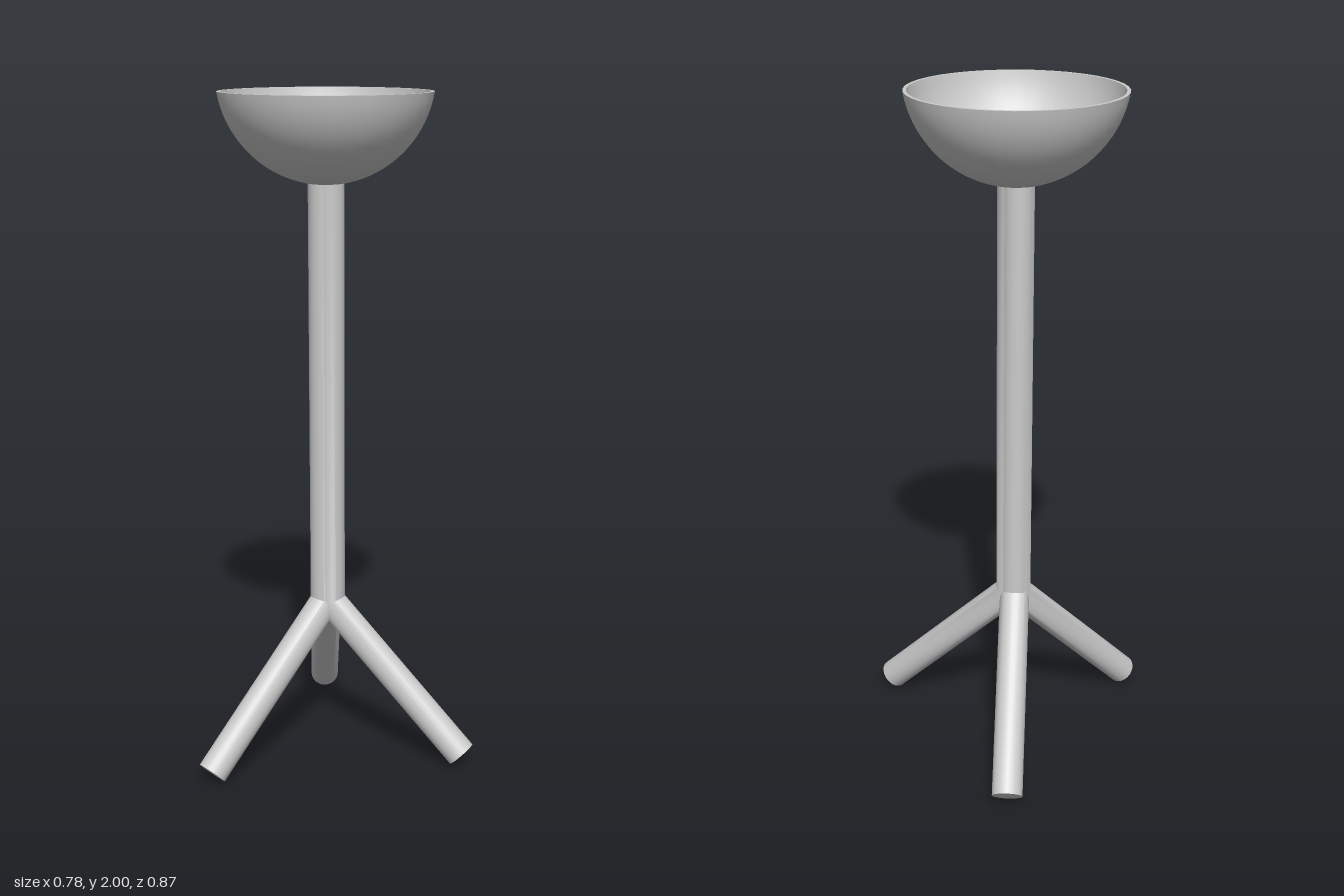
import * as THREE from 'three';
import { toCreasedNormals } from 'three/addons/utils/BufferGeometryUtils.js';

const material = new THREE.MeshStandardMaterial({ color: 0xcccccc, side: THREE.DoubleSide });
const RADIUS = 0.045, BEND_Y = 0.47, TOP_Y = 1.743;

// One rod: a vertical upper part and a mitred bend into a splayed leg along local +x
function bentRod(reach, footY) {
  const drop = BEND_Y - footY;
  const angle = Math.atan2(reach, drop);
  const geometry = new THREE.CylinderGeometry(RADIUS, RADIUS, 1, 24, 2);
  const pos = geometry.attributes.position;
  for (let i = 0; i < pos.count; i++) {
    const x = pos.getX(i), y = pos.getY(i);
    if (y > 0.25) pos.setY(i, TOP_Y);
    else if (y > -0.25) pos.setY(i, BEND_Y + x * Math.tan(angle / 2));
    else {
      pos.setX(i, reach + x * Math.cos(angle));
      pos.setY(i, footY + x * Math.sin(angle));
    }
  }
  return toCreasedNormals(geometry, Math.PI / 6);
}

// Thin spherical bowl, open at the top
function bowlGeometry() {
  const centreY = 2.05, rimY = 2, steps = 20;
  const arc = (r) => {
    const end = Math.acos((centreY - rimY) / r);
    return Array.from({ length: steps + 1 }, (_, i) => {
      const t = (end * i) / steps;
      return new THREE.Vector2(r * Math.sin(t), centreY - r * Math.cos(t));
    });
  };
  const profile = [...arc(0.312), ...arc(0.302).reverse()];
  return toCreasedNormals(new THREE.LatheGeometry(profile, 40), Math.PI / 6);
}

export function createModel() {
  const model = new THREE.Group();
  model.name = 'tripodBowlStand';

  const bowl = new THREE.Mesh(bowlGeometry(), material);
  bowl.name = 'bowl';
  bowl.position.x = -0.088;
  model.add(bowl);

  // Three rods bundled into the post: position and foot direction of each
  const rods = [
    { name: 'leftRod', x: -0.08, z: 0, dx: 0.435, dz: 0, footY: 0.04 },
    { name: 'frontRightRod', x: -0.095, z: 0.004, dx: -0.19, dz: 0.396, footY: 0.033 },
    { name: 'backRightRod', x: -0.095, z: -0.004, dx: -0.19, dz: -0.396, footY: 0.033 },
  ];
  for (const { name, x, z, dx, dz, footY } of rods) {
    const rod = new THREE.Mesh(bentRod(Math.hypot(dx, dz), footY), material);
    rod.name = name;
    rod.position.set(x, 0, z);
    rod.rotation.y = Math.atan2(-dz, dx);
    model.add(rod);
  }
  return model;
}
